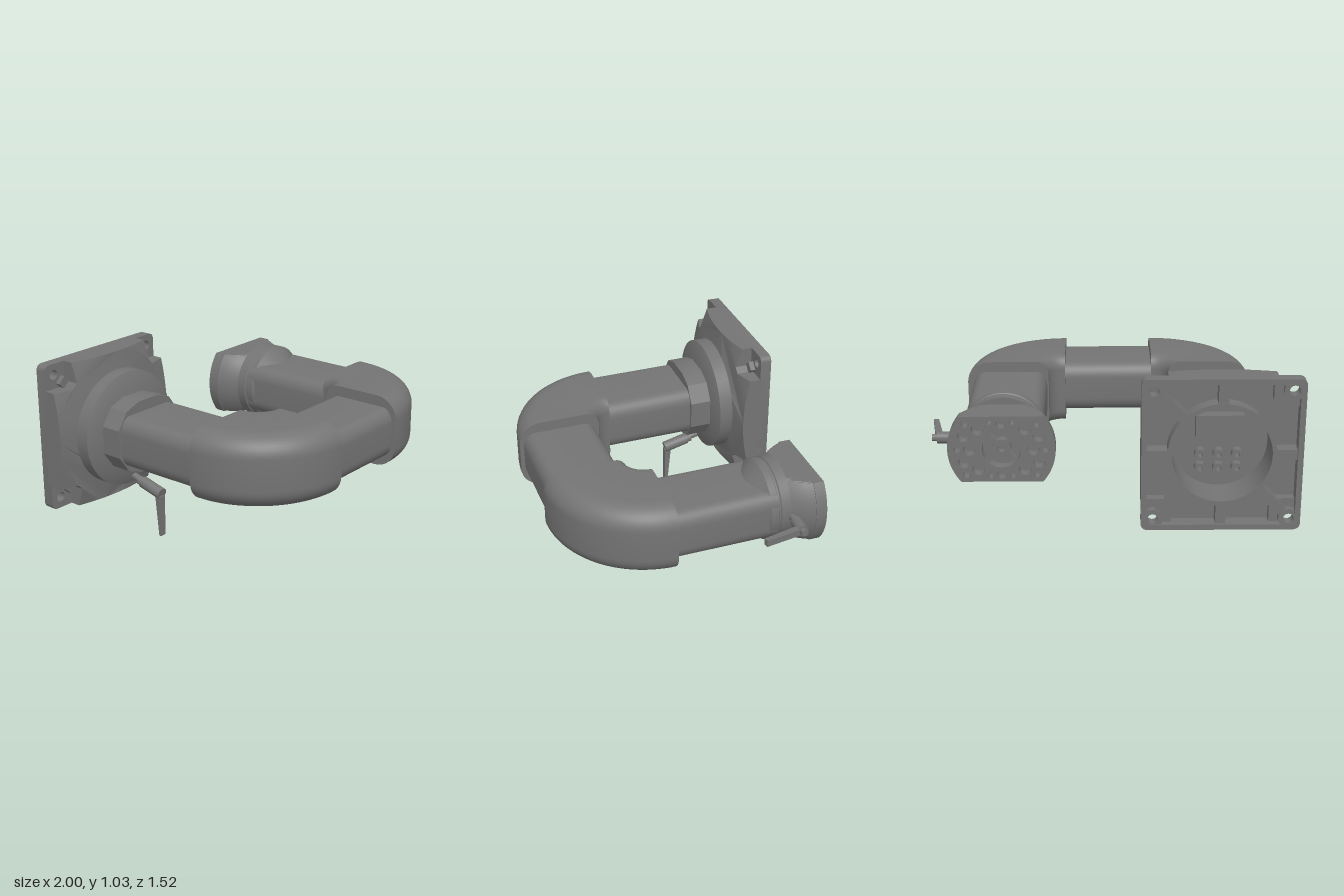
import * as THREE from 'three';
import { toCreasedNormals } from 'three/addons/utils/BufferGeometryUtils.js';

const Y = 0.605, LX = -0.573, RX = 0.595; // arm height, left and right arm axes
const metal = new THREE.MeshStandardMaterial({ color: 0x747474, side: THREE.DoubleSide });
metal.name = 'grey metal';

export function createModel() {
  const root = new THREE.Group();
  root.name = 'supportArm';

  const add = (name, geo, x = 0, y = 0, z = 0, parent = root) => {
    const m = new THREE.Mesh(toCreasedNormals(geo, 0.5), metal);
    m.name = name;
    m.position.set(x, y, z);
    parent.add(m);
    return m;
  };
  const group = (name, x, y, z = 0) => {
    const g = new THREE.Group();
    g.name = name;
    g.position.set(x, y, z);
    root.add(g);
    return g;
  };
  // extrusion along z from z0 to z1
  const ext = (shape, z0, z1) => new THREE.ExtrudeGeometry(shape,
    { depth: z1 - z0, bevelEnabled: false, curveSegments: 10 }).translate(0, 0, z0);
  // turned part about the z axis from [radius, z] pairs
  const turned = (pts, seg = 64) => new THREE.LatheGeometry(
    pts.map(p => new THREE.Vector2(...p)), seg).rotateX(Math.PI / 2);
  const poly = pts => new THREE.Shape(pts.map(p => new THREE.Vector2(...p)));
  const circle = (x, y, r) => new THREE.Path().absarc(x, y, r, 0, Math.PI * 2);
  const rod = (name, a, b, r, parent) => {
    const p = new THREE.Vector3(...a), q = new THREE.Vector3(...b), d = q.clone().sub(p);
    const m = add(name, new THREE.CylinderGeometry(r, r, d.length(), 20), 0, 0, 0, parent);
    m.position.copy(p).lerp(q, 0.5);
    m.quaternion.setFromUnitVectors(new THREE.Vector3(0, 1, 0), d.normalize());
  };
  // symmetric section with rounded corners: outer and inner corner sizes
  const section = (w, h, ox, oy, ix = ox, iy = oy) => {
    const s = new THREE.Shape();
    s.moveTo(w, -h + oy);
    s.lineTo(w, h - oy);
    s.bezierCurveTo(w, h - oy * 0.45, w - ox * 0.45, h, w - ox, h);
    s.lineTo(-w + ix, h);
    s.bezierCurveTo(-w + ix * 0.45, h, -w, h - iy * 0.45, -w, h - iy);
    s.lineTo(-w, -h + iy);
    s.bezierCurveTo(-w, -h + iy * 0.45, -w + ix * 0.45, -h, -w + ix, -h);
    s.lineTo(w - ox, -h);
    s.bezierCurveTo(w - ox * 0.45, -h, w, -h + oy * 0.45, w, -h + oy);
    return s;
  };

  // straight tubes
  const tube = section(0.216, 0.147, 0.07, 0.085);
  add('leftTube', ext(tube, -0.48, 0.22), LX, Y);
  add('rightTube', ext(tube, -0.4, 0.22), RX, Y);
  add('crossTube', ext(tube, -0.28, 0.31).rotateY(Math.PI / 2), 0, Y, 0.516);

  // elbows: a quarter turn of a rounded section, closed at both ends
  const bend = section(0.238, 0.208, 0.13, 0.12, 0.07, 0.08);
  const loop = bend.getPoints(10).map(p => new THREE.Vector2(p.x + 0.333, p.y));
  for (const [name, x, phi] of [['leftElbow', -0.24, -Math.PI / 2], ['rightElbow', 0.275, 0]]) {
    const g = group(name, x, Y, 0.185);
    add(name + 'Body', new THREE.LatheGeometry(loop, 28, phi, Math.PI / 2), 0, 0, 0, g);
    for (const a of [phi, phi + Math.PI / 2])
      add(name + 'End', new THREE.ShapeGeometry(bend, 10).translate(0.333, 0, 0)
        .rotateY(a - Math.PI / 2), 0, 0, 0, g);
  }

  // wall plate
  const plate = group('wallPlate', LX, Y);
  const H = 0.4275;
  // square with cut-out corners, its edges divided so that the front can be domed
  const cross = (h, n) => {
    const corners = [[h, -n], [h, n], [n + 0.03, n], [n, n + 0.03], [n, h]], out = [];
    for (let q = 0; q < 4; q++) {
      const c = Math.round(Math.cos(q * Math.PI / 2)), s = Math.round(Math.sin(q * Math.PI / 2));
      for (let i = 0; i < 5; i++) {
        const p = corners[i];
        if (i === 0) for (let k = 0; k < 12; k++) {
          const t = -n + 2 * n * k / 12;
          out.push([h * c - t * s, h * s + t * c]);
        } else if (i < 4) out.push([p[0] * c - p[1] * s, p[0] * s + p[1] * c]);
      }
    }
    return poly(out);
  };
  const face = cross(H, 0.285);
  face.holes.push(circle(0, 0, 0.28));
  const dome = ext(face, -0.67, -0.6), pos = dome.attributes.position;
  for (let i = 0; i < pos.count; i++) if (pos.getZ(i) > -0.62) {
    const r2 = pos.getX(i) ** 2 + pos.getY(i) ** 2;
    pos.setZ(i, -0.565 - 0.45 * Math.max(0, r2 - 0.112));
  }
  add('domedFace', dome, 0, 0, 0, plate);
  const wall = cross(H, 0.285);
  wall.holes.push(cross(0.4, 0.262));
  add('innerWall', ext(wall, -0.72, -0.67), 0, 0, 0, plate);
  const rim = section(H, H, 0.035, 0.035);
  rim.holes.push(section(0.397, 0.397, 0.03, 0.03));
  add('rim', ext(rim, -0.76, -0.695), 0, 0, 0, plate);

  // corner pads with screw bosses
  for (const sx of [-1, 1]) for (const sy of [-1, 1]) {
    const pad = section(0.078, 0.078, 0.03, 0.03);
    pad.holes.push(circle(sx * 0.015, sy * 0.015, 0.028));
    add('cornerPad', ext(pad, -0.72, -0.695), sx * 0.349, sy * 0.349, 0, plate);
    add('screwBoss', turned([[0.028, -0.71], [0.028, -0.757], [0.055, -0.757], [0.055, -0.71]], 24),
      sx * 0.364, sy * 0.364, 0, plate);
  }
  // ribs behind the plate
  for (let i = 0; i < 8; i++) {
    const end = i % 2 ? 0.47 : 0.405, a = i * Math.PI / 4;
    add('rib', new THREE.BoxGeometry(end - 0.28, 0.055, 0.08)
      .translate((end + 0.28) / 2, 0, -0.705).rotateZ(a), 0, 0, 0, plate);
  }
  // round hub, open at the back
  add('hub', turned([[0, -0.53], [0.265, -0.53], [0.265, -0.75], [0.29, -0.75], [0.29, -0.565],
    [0.335, -0.565], [0.335, -0.487], [0.27, -0.458], [0, -0.458]]), 0, 0, 0, plate);
  add('hubBlock', new THREE.BoxGeometry(0.26, 0.13, 0.07), 0, 0.1, -0.56, plate);
  for (let i = 0; i < 6; i++)
    add('hubBolt', turned([[0.014, -0.53], [0.014, -0.58], [0.032, -0.58], [0.032, -0.53]], 20),
      (i % 3 - 1) * 0.1, i < 3 ? -0.07 : -0.15, 0, plate);
  // faceted collar
  const quarter = [[0.237, 0.08], [0.17, 0.175], [0.075, 0.21]];
  const flip = (sx, sy) => quarter.map(([x, y]) => [x * sx, y * sy]);
  add('collar', ext(poly([...flip(1, 1), ...flip(-1, 1).reverse(), ...flip(-1, -1),
    ...flip(1, -1).reverse()]), -0.47, -0.335), 0, 0, 0, plate);

  // mounting head
  const head = group('mountingHead', RX, Y);
  add('headRing', turned([[0, -0.47], [0.228, -0.47], [0.228, -0.415], [0.22, -0.41], [0.22, -0.4],
    [0.228, -0.395], [0.228, -0.355], [0.147, -0.28], [0, -0.28]]), 0, 0, 0, head);
  const bowl = turned([[0, -0.59], [0.286, -0.59], [0.272, -0.55], [0.25, -0.505], [0.222, -0.465],
    [0, -0.465]], 96);
  const bp = bowl.attributes.position;
  for (let i = 0; i < bp.count; i++) bp.setY(i, THREE.MathUtils.clamp(bp.getY(i), -0.187, 0.187));
  add('headBowl', bowl, 0, 0, 0, head);
  const a = Math.asin(0.187 / 0.289);
  const back = new THREE.Shape();
  back.absarc(0, 0, 0.289, -a, a);
  back.absarc(0, 0, 0.289, Math.PI - a, Math.PI + a);
  back.holes.push(circle(0, 0, 0.105));
  for (const sx of [-1, 1]) {
    back.holes.push(circle(sx * 0.235, 0, 0.02), circle(sx * 0.17, 0, 0.035));
    for (const sy of [-1, 1]) back.holes.push(circle(sx * 0.2, sy * 0.075, 0.032),
      circle(sx * 0.125, sy * 0.115, 0.034), circle(sx * 0.19, sy * 0.145, 0.02));
  }
  for (const sy of [-1, 1]) back.holes.push(circle(0, sy * 0.145, 0.026),
    circle(-0.06, sy * 0.155, 0.015), circle(0.06, sy * 0.155, 0.015));
  add('headBack', ext(back, -0.65, -0.588), 0, 0, 0, head);
  add('headCentre', turned([[0.022, -0.59], [0.022, -0.635], [0.05, -0.635], [0.05, -0.59]], 28),
    0, 0, 0, head);
  for (let i = 0; i < 4; i++)
    add('headSpoke', new THREE.BoxGeometry(0.065, 0.02, 0.04).translate(0.077, 0, -0.61)
      .rotateZ(Math.PI / 4 + i * Math.PI / 2), 0, 0, 0, head);

  // clamp lever under the wall plate
  const low = group('lowerClampLever', LX, 0);
  rod('stem', [0, 0.325, -0.5], [0, 0.286, -0.36], 0.02, low);
  rod('nut', [0, 0.298, -0.42], [0, 0.289, -0.385], 0.026, low);
  rod('knob', [0, 0.294, -0.395], [0, 0.257, -0.25], 0.034, low);
  add('handle', ext(poly([[-0.245, 0.245], [-0.285, 0.245], [-0.262, 0], [-0.248, 0]]), -0.019, 0.019)
    .rotateY(-Math.PI / 2), 0, 0, 0, low);

  // clamp lever beside the mounting head
  const side = group('sideClampLever', 0, Y);
  rod('stem', [0.78, 0, -0.475], [0.9, 0, -0.475], 0.02, side);
  rod('knob', [0.865, 0, -0.475], [0.955, 0, -0.475], 0.032, side);
  rod('cap', [0.95, 0, -0.475], [0.983, 0, -0.475], 0.02, side);
  add('handle', ext(poly([[0.928, -0.45], [0.968, -0.45], [1.0, -0.25], [0.972, -0.244]]), -0.019, 0.019)
    .rotateX(Math.PI / 2), 0, 0, 0, side);
  return root;
}
